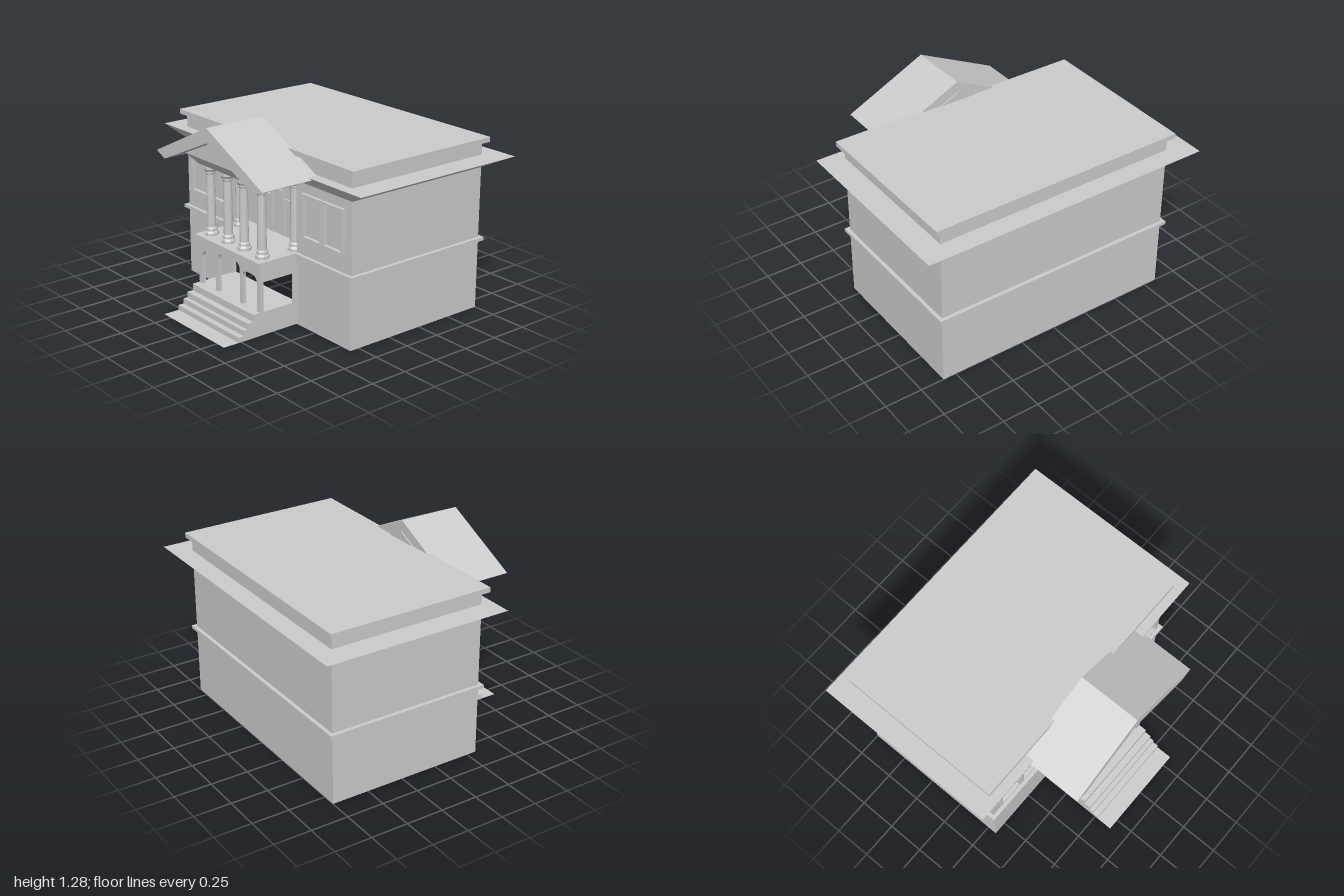
import * as THREE from 'three';

const mat = new THREE.MeshStandardMaterial({ color: 0xcccccc, side: THREE.DoubleSide, flatShading: true });

export function createModel() {
  const root = new THREE.Group();

  const add = (name, geo, x = 0, y = 0, z = 0, ry = 0) => {
    const m = new THREE.Mesh(geo, mat);
    m.name = name;
    m.position.set(x, y, z);
    m.rotation.y = ry;
    root.add(m);
    return m;
  };
  // Box given by its limits
  const box = (name, x0, x1, y0, y1, z0, z1) =>
    add(name, new THREE.BoxGeometry(x1 - x0, y1 - y0, z1 - z0), (x0 + x1) / 2, (y0 + y1) / 2, (z0 + z1) / 2);
  // Shape or hole from corner points
  const poly = (pts, Type = THREE.Shape) => new Type(pts.map(p => new THREE.Vector2(...p)));
  const rect = (x0, x1, y0, y1, Type) => poly([[x0, y0], [x1, y0], [x1, y1], [x0, y1]], Type);
  const extrude = (shape, depth) =>
    new THREE.ExtrudeGeometry(shape, { depth, bevelEnabled: false, curveSegments: 8 });
  // Box that flares from a lower rectangle to an upper one: [halfWidth, zBack, zFront]
  const flare = (name, y0, lower, y1, upper) => {
    const g = new THREE.BoxGeometry(2, 2, 2), p = g.attributes.position;
    for (let i = 0; i < p.count; i++) {
      const [w, zb, zf] = p.getY(i) < 0 ? lower : upper;
      p.setXYZ(i, p.getX(i) * w, p.getY(i) < 0 ? y0 : y1, p.getZ(i) < 0 ? zb : zf);
    }
    g.computeVertexNormals();
    return add(name, g);
  };

  const W = 0.84, BACK = -0.75, FRONT = 0.315, PW = 0.325, PF = 0.6, LOGGIA = 0.2;
  const windows = [[0.395, 0.58], [0.59, 0.78]];
  const bothSides = f => [-1, 1].forEach(f);

  // House walls, open underneath, with a gap for the porch and loggia
  const front = poly([[-W, 0], [-PW, 0], [-PW, 0.95], [PW, 0.95], [PW, 0], [W, 0], [W, 1.12], [-W, 1.12]]);
  bothSides(s => windows.forEach(([a, b]) =>
    front.holes.push(rect(s * a, s * b, 0.6, 0.89, THREE.Path))));
  add('frontWall', new THREE.ShapeGeometry(front), 0, 0, FRONT);
  add('backWall', new THREE.PlaneGeometry(2 * W, 1.12), 0, 0.56, BACK, Math.PI);
  bothSides(s => add('sideWall', new THREE.PlaneGeometry(FRONT - BACK, 1.12),
    s * W, 0.56, (FRONT + BACK) / 2, s * Math.PI / 2));

  // Paired windows
  bothSides(s => windows.forEach(([a, b]) => {
    const w = (b - a) / 2, h = 0.145, t = 0.016;
    const frame = rect(-w, w, -h, h);
    frame.holes.push(rect(-w + t, w - t, -h + t, h - t, THREE.Path));
    add('windowFrame', extrude(frame, 0.03), s * (a + b) / 2, 0.745, 0.307);
    add('windowPane', new THREE.PlaneGeometry(2 * w, 2 * h), s * (a + b) / 2, 0.745, 0.312);
  }));

  // Band around the house between the storeys
  box('bandBack', -0.865, 0.865, 0.463, 0.485, -0.775, BACK);
  bothSides(s => {
    const [a, b] = s < 0 ? [-0.865, -W] : [W, 0.865];
    box('bandSide', a, b, 0.463, 0.485, BACK, FRONT);
    const [c, d] = s < 0 ? [-0.865, -PW] : [PW, 0.865];
    box('bandFront', c, d, 0.463, 0.485, FRONT, 0.34);
  });

  // Flared eaves and flat roof
  flare('eaves', 0.95, [W, BACK, FRONT], 1.032, [1, -0.88, 0.39]);
  box('roofSlab', -0.88, 0.88, 1.118, 1.15, -0.777, 0.345);

  // Porch side walls with the stepped stair outline
  const steps = [[0.77, 0], [0.77, 0.035], [0.73, 0.035], [0.73, 0.07], [0.7, 0.07],
    [0.7, 0.108], [0.655, 0.108], [0.655, 0.153], [FRONT, 0.153]];
  const side = poly([[FRONT, 0], ...steps.slice(0, 8), [PF, 0.153], [PF, 0.465], [FRONT, 0.465]]);
  side.holes.push(rect(0.345, 0.575, 0.153, 0.35, THREE.Path));
  bothSides(s => add('porchSide', extrude(side, 0.012), s > 0 ? PW - 0.012 : -PW, 0, 0, -Math.PI / 2)
    .position.setX(s > 0 ? PW : -PW + 0.012));

  // Stairs and porch floor as one folded sheet
  for (let i = 0; i < steps.length - 1; i++) {
    const [z0, y0] = steps[i], [z1, y1] = steps[i + 1];
    const riser = z0 === z1;
    const g = new THREE.PlaneGeometry(2 * PW, riser ? y1 - y0 : z0 - z1);
    if (!riser) g.rotateX(-Math.PI / 2);
    add(riser ? 'stairRiser' : 'stairTread', g, 0, (y0 + y1) / 2, (z0 + z1) / 2);
  }
  add('stairLanding', new THREE.PlaneGeometry(2 * PW, 0.11).rotateX(-Math.PI / 2), 0, 0.001, 0.825);

  // Arcade with three round-cornered openings
  const arcade = rect(-PW, PW, 0.153, 0.465);
  for (const [a, b, top, r] of [[-0.29, -0.145, 0.383, 0.05], [-0.115, 0.115, 0.418, 0.05], [0.145, 0.29, 0.383, 0.05]]) {
    const hole = new THREE.Path();
    hole.moveTo(a, 0.154);
    hole.lineTo(b, 0.154);
    hole.lineTo(b, top - r);
    hole.quadraticCurveTo(b, top, b - r, top);
    hole.lineTo(a + r, top);
    hole.quadraticCurveTo(a, top, a, top - r);
    arcade.holes.push(hole);
  }
  add('porchArcade', extrude(arcade, 0.025), 0, 0, PF - 0.025);

  // Balcony floor and recessed loggia walls
  box('balconyFloor', -PW, PW, 0.463, 0.485, LOGGIA, FRONT);
  box('balconySlab', -0.34, 0.34, 0.463, 0.485, FRONT, 0.62);
  add('loggiaBackWall', new THREE.PlaneGeometry(2 * PW, 0.47), 0, 0.715, LOGGIA);
  bothSides(s => add('loggiaSideWall', new THREE.PlaneGeometry(FRONT - LOGGIA, 0.47),
    s * PW, 0.715, (FRONT + LOGGIA) / 2, -s * Math.PI / 2));
  // Door with a lintel, flanked by barred windows
  box('doorLintel', -0.06, 0.06, 0.783, 0.795, LOGGIA, LOGGIA + 0.025);
  bothSides(s => {
    box('doorJamb', s * 0.06 - 0.006, s * 0.06 + 0.006, 0.485, 0.89, LOGGIA, LOGGIA + 0.012);
    for (const y of [0.735, 0.885])
      box('loggiaWindowBar', s * 0.155 - 0.09, s * 0.155 + 0.09, y - 0.005, y + 0.005, LOGGIA, LOGGIA + 0.012);
  });

  // Columns: faceted base and capital around a round shaft
  const lathe = (pts, n) => new THREE.LatheGeometry(pts.map(p => new THREE.Vector2(...p)), n, Math.PI / n);
  const baseGeo = lathe([[0, 0], [0.046, 0], [0.046, 0.016], [0.038, 0.03], [0.038, 0.045], [0.032, 0.055], [0, 0.055]], 8);
  const capGeo = lathe([[0, 0], [0.03, 0], [0.034, 0.012], [0.034, 0.02], [0.044, 0.036], [0.044, 0.06], [0, 0.06]], 8);
  const shaftGeo = new THREE.CylinderGeometry(0.028, 0.03, 0.36, 16);
  const column = (x, z) => {
    add('columnBase', baseGeo, x, 0.485, z);
    add('columnShaft', shaftGeo, x, 0.715, z);
    add('columnCapital', capGeo, x, 0.89, z);
  };
  for (const x of [-0.265, -0.083, 0.083, 0.265]) column(x, 0.538);
  bothSides(s => column(s * 0.285, 0.298));

  // Porch beam, pediment and gable roof
  flare('porchBeam', 0.95, [PW, LOGGIA, 0.58], 1.032, [0.375, LOGGIA, 0.66]);
  add('pediment', extrude(poly([[-0.375, 1.03], [0.375, 1.03], [0, 1.21]]), 0.345), 0, 0, 0.315);
  const gable = poly([[0, 1.285], [-0.55, 1.02], [-0.465, 0.982], [0, 1.19], [0.465, 0.982], [0.55, 1.02]]);
  add('gableRoof', extrude(gable, 0.425), 0, 0, 0.322);

  return root;
}
